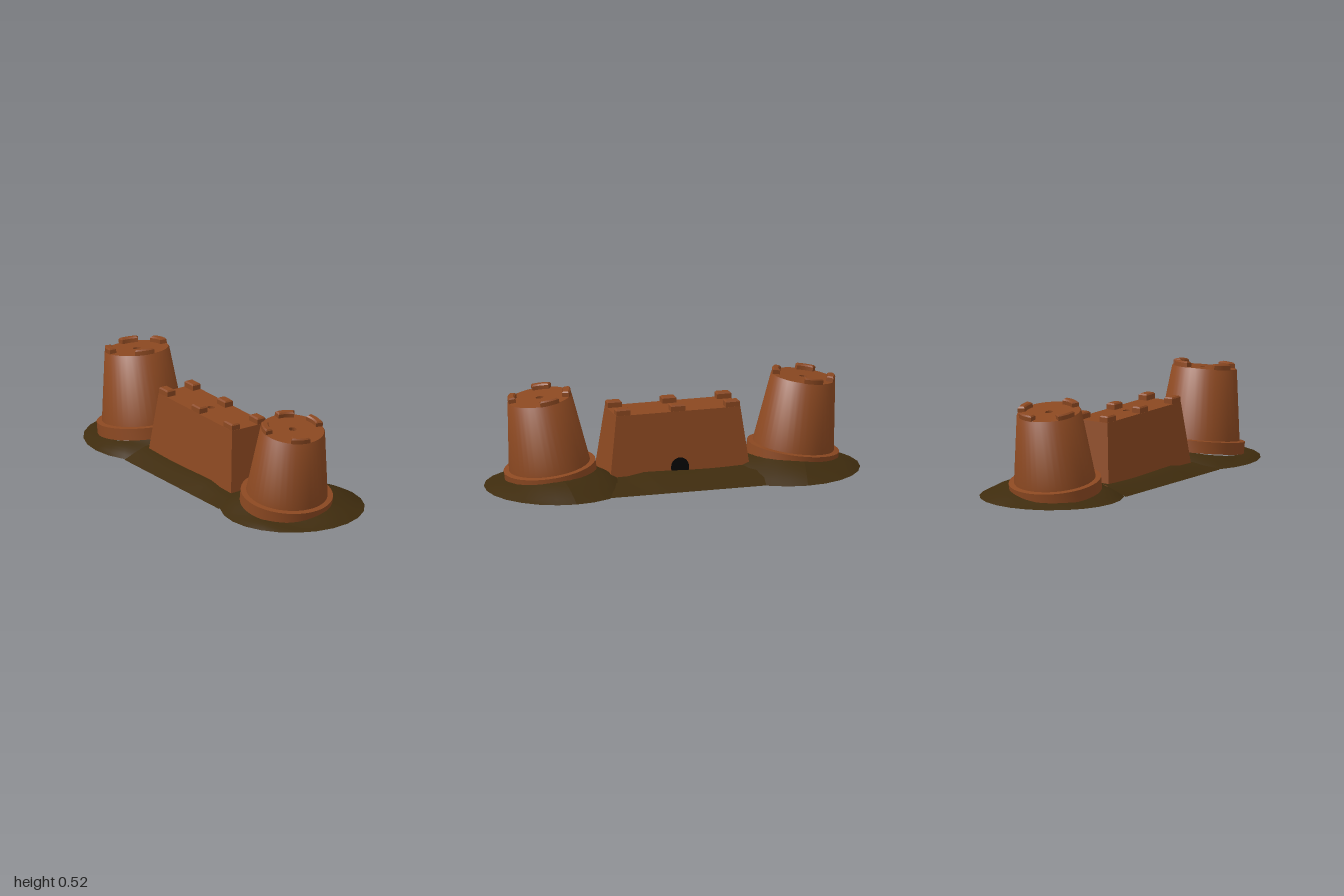
import * as THREE from 'three';
import { toCreasedNormals } from 'three/addons/utils/BufferGeometryUtils.js';

const material = (name, color) =>
  new THREE.MeshStandardMaterial({ name, color, side: THREE.DoubleSide });

// Surface from a grid of points: point(u, v) with u and v from 0 to 1
function gridSurface(nu, nv, point) {
  const positions = [], index = [];
  for (let j = 0; j <= nv; j++)
    for (let i = 0; i <= nu; i++) positions.push(...point(i / nu, j / nv));
  for (let j = 0; j < nv; j++)
    for (let i = 0; i < nu; i++) {
      const a = j * (nu + 1) + i, b = a + nu + 1;
      index.push(a, b, a + 1, b, b + 1, a + 1);
    }
  const g = new THREE.BufferGeometry();
  g.setAttribute('position', new THREE.Float32BufferAttribute(positions, 3));
  g.setIndex(index);
  g.computeVertexNormals();
  return g;
}

const rectangle = (w, d, Type = THREE.Shape) =>
  new Type([[-w, -d], [w, -d], [w, d], [-w, d]].map(p => new THREE.Vector2(...p)));

export function createModel() {
  const clay = material('clay', 0x8b4821);
  const earth = material('earth', 0x3f2c0e);
  const shade = material('dark opening', 0x060504);
  const model = new THREE.Group();

  function add(parent, name, geometry, mat, x = 0, y = 0, z = 0) {
    const mesh = new THREE.Mesh(geometry, mat);
    mesh.name = name;
    mesh.position.set(x, y, z);
    parent.add(mesh);
    return mesh;
  }

  // Tapered tower with a collar at its foot and a small hole in its roof
  const towerProfile = [[0.215, 0.03], [0.215, -0.012], [0.24, -0.012], [0.24, 0.05],
    [0.212, 0.053], [0.168, 0.415], [0.164, 0.42], [0.02, 0.42], [0.02, 0.4], [0, 0.4]]
    .map(p => new THREE.Vector2(...p));
  const towerGeometry = toCreasedNormals(new THREE.LatheGeometry(towerProfile, 40), 0.6);

  function merlonArc(angle) {
    const a = THREE.MathUtils.degToRad(angle - 16), b = THREE.MathUtils.degToRad(angle + 16);
    const shape = new THREE.Shape();
    shape.absarc(0, 0, 0.158, a, b, false);
    shape.absarc(0, 0, 0.134, b, a, true);
    return new THREE.ExtrudeGeometry(shape, { depth: 0.026, curveSegments: 6,
      bevelThickness: 0.007, bevelSize: 0.007, bevelSegments: 1 }).rotateX(-Math.PI / 2);
  }

  function tower(name, z, tilt) {
    const group = new THREE.Group();
    group.name = name;
    group.position.set(-0.05, 0.05, z);
    group.rotation.x = tilt;
    add(group, 'towerBody', towerGeometry, clay);
    add(group, 'towerInside', new THREE.CircleGeometry(0.222, 40).rotateX(Math.PI / 2), shade, 0, -0.013, 0);
    for (const angle of [4, 72, 160, 251]) add(group, 'towerMerlon', merlonArc(angle), clay, 0, 0.415, 0);
    model.add(group);
  }
  tower('frontTower', 0.637, 0.146);
  tower('backTower', -0.662, -0.146);

  // Mounds: rings that spread from the tower foot to a circle on the ground
  function mound(name, z, towerZ, side) {
    add(model, name, gridSurface(24, 5, (u, t) => {
      const a = u * Math.PI * 2, c = Math.cos(a), s = Math.sin(a);
      const x0 = -0.05 + 0.222 * c, z0 = towerZ + 0.222 * s;
      const top = 0.056 + 0.024 * c - side * 0.024 * s;
      const lump = 0.006 * Math.sin(5 * a + 1) * t * (1 - t) * 4;
      const y = t === 1 ? 0 : top * (1 - t) * (1 + 0.4 * t) + lump;
      return [x0 + (0.375 * c - x0) * t, Math.max(0, y), z0 + (z + 0.375 * s - z0) * t];
    }), earth);
  }
  mound('frontMound', 0.622, 0.637, 1);
  mound('backMound', -0.625, -0.662, -1);

  // Low bank of earth under the wall
  const bank = [[-0.33, 0], [-0.26, 0.026], [-0.2, 0.045], [-0.06, 0.05], [0.08, 0.052],
    [0.17, 0.044], [0.25, 0.024], [0.31, 0]];
  add(model, 'earthBank', gridSurface(10, bank.length - 1, (u, v) => {
    const [x, y] = bank[Math.round(v * (bank.length - 1))];
    const z = -0.43 + 0.86 * u;
    return [x, y * (1 + 0.08 * Math.sin(z * 9)) * (z > 0.25 ? 0.75 : 1), z];
  }), earth);

  // Wall: hollow block narrowing upward, with a pierced roof
  const wall = new THREE.Group();
  wall.name = 'wall';
  wall.position.set(-0.06, 0.018, -0.022);
  model.add(wall);
  const height = 0.34, roofDepth = 0.028;
  function taper(g) {
    const p = g.attributes.position;
    for (let i = 0; i < p.count; i++) {
      const t = p.getY(i) / height;
      p.setX(i, p.getX(i) * (1 - 0.255 * t));
      p.setZ(i, p.getZ(i) * (1 - 0.115 * t));
    }
    g.computeVertexNormals();
    return g;
  }
  const block = (shape, depth, y) => taper(new THREE.ExtrudeGeometry(shape,
    { depth, bevelEnabled: false, curveSegments: 16 }).rotateX(-Math.PI / 2).translate(0, y, 0));
  const sides = rectangle(0.142, 0.378);
  sides.holes.push(rectangle(0.112, 0.348, THREE.Path));
  add(wall, 'wallSides', block(sides, height - roofDepth, 0), clay);
  const roof = rectangle(0.142, 0.378);
  roof.holes.push(new THREE.Path().absarc(0, 0.01, 0.024, 0, Math.PI * 2, true));
  add(wall, 'wallRoof', block(roof, roofDepth, height - roofDepth), clay);

  // Wall merlons with chamfered tops
  const merlon = new THREE.ExtrudeGeometry(rectangle(0.018, 0.031), { depth: 0.028,
    bevelThickness: 0.007, bevelSize: 0.007, bevelSegments: 1 }).rotateX(-Math.PI / 2);
  for (const x of [-0.08, 0.08])
    for (const z of [-0.295, 0, 0.295]) add(wall, 'wallMerlon', merlon, clay, x, height - 0.002, z);

  // Arched doorway on the left face of the wall
  const arch = new THREE.Shape();
  arch.moveTo(0.048, -0.02);
  arch.lineTo(0.048, 0.022);
  arch.absarc(0, 0.022, 0.048, 0, Math.PI, false);
  arch.lineTo(-0.048, -0.02);
  const slope = 0.142 * 0.255 / height;
  add(wall, 'doorway', new THREE.ShapeGeometry(arch, 16).rotateY(Math.PI / 2)
    .rotateZ(Math.atan(slope)), shade, 0.144 - 0.03 * slope, 0.03, 0);

  return model;
}
